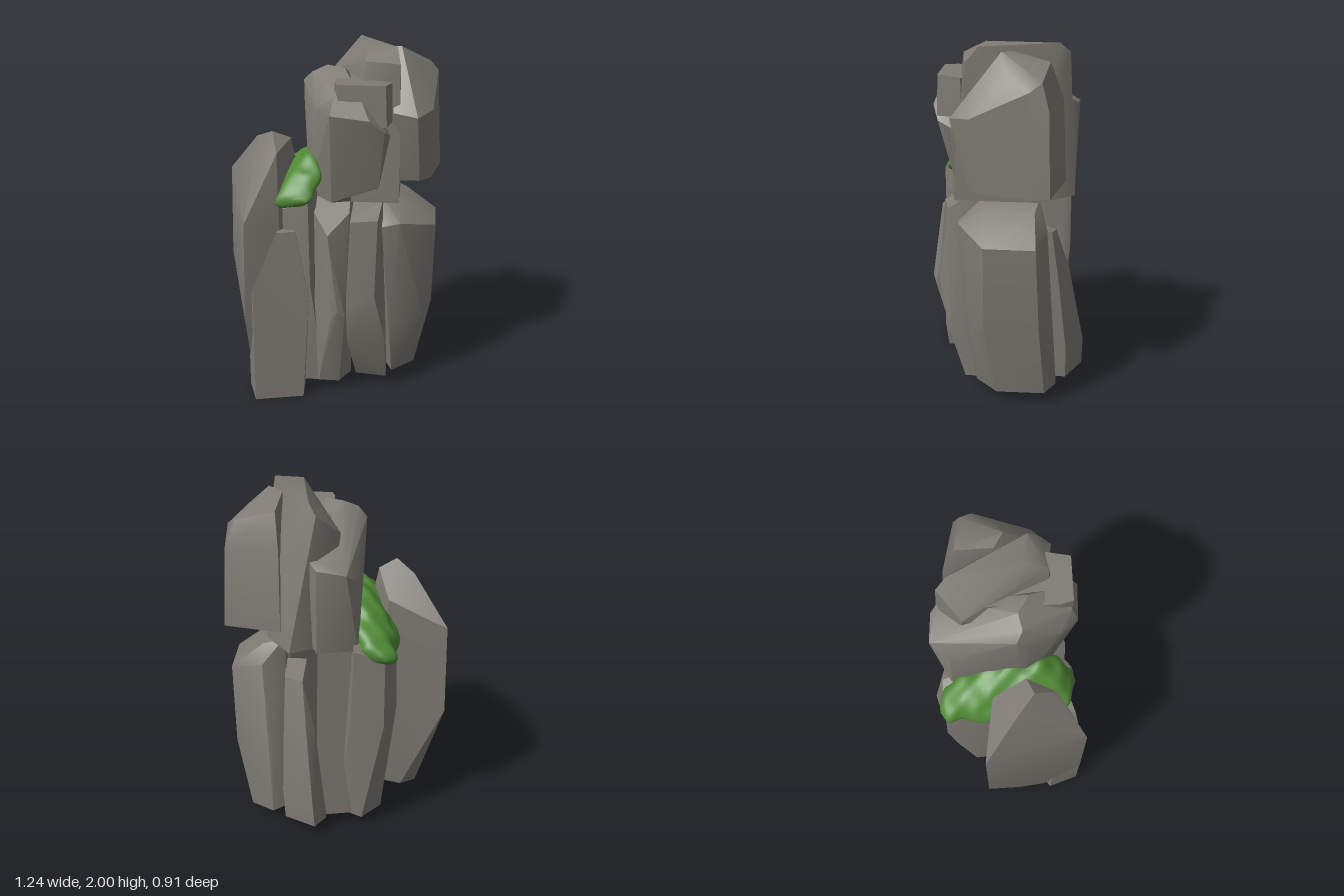
import * as THREE from 'three';
import { ConvexGeometry } from 'three/addons/geometries/ConvexGeometry.js';
import { toCreasedNormals } from 'three/addons/utils/BufferGeometryUtils.js';

const stone = new THREE.MeshStandardMaterial({ color: 0x7f7b74 });
stone.name = 'stone';
const mossGreen = new THREE.MeshStandardMaterial({ color: 0x4f8a35 });
mossGreen.name = 'moss green';

// Each rock is a chiselled convex block given by its corners [x, y, z].
const rocks = {
  leftTallRock: [
    [-0.47, 0.05, 0.08], [-0.45, 0.05, 0.24], [-0.18, 0.05, 0.32], [-0.2, 0.05, 0.08], [-0.38, 0.05, 0.03],
    [-0.62, 0.68, -0.12], [-0.45, 0.5, 0.44], [-0.19, 0.6, 0.3], [-0.22, 0.7, -0.04],
    [-0.61, 1.22, -0.13], [-0.53, 1.25, -0.12], [-0.44, 1.08, 0.44], [-0.26, 1.05, 0.35],
    [-0.28, 1.36, -0.08], [-0.185, 1.3, 0.1], [-0.42, 1.47, 0.05], [-0.32, 1.525, 0.14],
    [-0.22, 1.48, 0.1], [-0.28, 1.43, 0.26],
  ],
  frontLeftRock: [
    [-0.46, 0, 0.28], [-0.4, 0, 0.455], [-0.13, 0, 0.39], [-0.14, 0, 0.2], [-0.27, 0, 0.13],
    [-0.46, 0.48, 0.28], [-0.4, 0.7, 0.455], [-0.095, 0.62, 0.38], [-0.14, 0.7, 0.15],
    [-0.27, 1.02, 0.39], [-0.17, 1.02, 0.36], [-0.19, 1.02, 0.2], [-0.27, 1.02, 0.2],
  ],
  backLeftRock: [
    [-0.26, 0.05, -0.2], [-0.15, 0.05, -0.33], [0, 0.05, -0.25], [-0.02, 0.05, 0.28], [-0.22, 0.05, 0.28],
    [-0.34, 0.7, -0.12], [-0.27, 0.7, -0.36], [-0.08, 0.7, -0.36], [-0.09, 0.7, 0.36], [-0.24, 0.7, 0.34],
    [-0.33, 1.12, -0.1], [-0.27, 1.12, -0.35], [-0.1, 1.17, -0.36], [-0.07, 1.32, -0.1],
    [-0.08, 1.33, 0.2], [-0.1, 1.18, 0.35], [-0.24, 1.14, 0.33],
  ],
  centreRock: [
    [-0.09, 0.06, -0.3], [0.12, 0.06, -0.34], [0.12, 0.06, 0.2], [-0.09, 0.06, 0.2],
    [-0.08, 1.08, 0.24], [0.12, 1.09, 0.24], [0.12, 1.18, 0.1],
    [-0.08, 1.18, 0.1], [-0.08, 1.17, -0.3], [0.1, 1.17, -0.33],
  ],
  frontSplinter: [
    [-0.09, 0.06, 0.2], [-0.05, 0.06, 0.3], [0.07, 0.06, 0.3], [0.13, 0.06, 0.18], [0.07, 0.58, 0.44],
    [0.03, 0.52, 0.42], [0.11, 0.54, 0.42], [-0.07, 0.6, 0.33], [0.01, 1.01, 0.385],
    [-0.08, 1.1, 0.25], [0.12, 1.1, 0.26], [-0.07, 1.16, 0.15], [0.12, 1.16, 0.18],
  ],
  frontRightRock: [
    [0.16, 0.06, 0.2], [0.34, 0.06, 0.22], [0.33, 0.06, -0.1], [0.14, 0.06, 0],
    [0.12, 0.36, 0.36], [0.11, 0.58, 0.37], [0.27, 0.65, 0.37], [0.33, 0.35, 0.31],
    [0.13, 1.08, 0.35], [0.28, 1.08, 0.31], [0.14, 1.16, 0.2], [0.3, 1.16, 0.2], [0.3, 1.16, -0.1],
  ],
  rightRock: [
    [0.37, 0.06, 0.15], [0.5, 0.06, 0.02], [0.51, 0.07, -0.25], [0.38, 0.06, -0.31], [0.24, 0.06, -0.2],
    [0.35, 0.4, 0.22], [0.54, 0.45, 0.14], [0.59, 0.5, 0.08], [0.59, 0.5, -0.22], [0.38, 0.5, -0.28],
    [0.3, 1.02, 0.25], [0.4, 1.04, 0.24], [0.6, 0.98, 0.08], [0.6, 0.98, -0.2], [0.42, 1.02, -0.25],
    [0.3, 1.15, 0.12], [0.4, 1.12, 0.1], [0.3, 1.16, -0.2], [0.42, 1.12, -0.18],
  ],
  backRock: [
    [0.06, 0.06, -0.36], [0.12, 0.06, -0.45], [0.3, 0.06, -0.36], [0.3, 0.06, -0.1], [0.06, 0.06, -0.1],
    [0.13, 0.22, -0.455], [0.31, 0.25, -0.36], [0.12, 0.65, -0.33], [0.17, 0.7, -0.365], [0.3, 0.68, -0.31],
    [0.19, 0.94, -0.29], [0.29, 0.96, -0.27], [0.18, 1, -0.12], [0.3, 1, -0.12],
  ],
  towerRock: [
    [-0.12, 1.15, -0.3], [0.1, 1.17, -0.385], [0.12, 1.15, 0.2], [0.02, 1.16, 0.26], [-0.12, 1.16, 0.1],
    [0.28, 1.26, 0.27], [0.3, 1.27, 0],
    [-0.13, 1.55, -0.3], [-0.06, 1.63, -0.4], [0.1, 1.65, -0.39], [0.15, 1.7, -0.34],
    [-0.15, 1.8, 0.05], [-0.14, 1.72, 0.12], [-0.06, 1.7, 0.28], [0.02, 1.68, 0.375], [0.23, 1.66, 0.385],
    [0.31, 1.59, 0.35], [0.335, 1.56, 0.28], [-0.1, 1.85, 0.08], [-0.02, 1.885, 0.06], [0.08, 1.88, 0.12],
    [0.04, 1.77, 0.34], [0.18, 1.77, 0.34],
  ],
  crownRock: [
    [0.13, 1.17, 0.26], [0.39, 1.17, 0.26], [0.39, 1.17, -0.2], [0.25, 1.17, -0.39], [0.06, 1.17, -0.3],
    [0.11, 1.34, 0.27], [0.39, 1.4, 0.24], [0.38, 1.72, 0.2], [0.2, 1.72, 0.25], [-0.02, 1.8, -0.22],
    [0.1, 1.76, -0.345], [0.28, 1.76, -0.26], [0.05, 1.88, -0.24], [0.1, 1.93, -0.345], [0.14, 1.985, -0.29],
    [0.2, 2, 0.1], [0.36, 2, 0.12], [0.38, 1.92, 0.19], [0.2, 1.94, 0.22],
  ],
  overhangRock: [
    [0.3, 1.27, -0.34], [0.615, 1.27, -0.27], [0.615, 1.27, -0.17], [0.56, 1.27, 0.1],
    [0.5, 1.27, 0.165], [0.34, 1.27, 0.165],
    [0.35, 1.67, 0.24], [0.48, 1.65, 0.26], [0.56, 1.67, 0.15], [0.585, 1.82, -0.16],
    [0.59, 1.72, -0.26], [0.3, 1.72, -0.32], [0.32, 1.92, -0.25], [0.54, 1.86, -0.22],
    [0.38, 1.98, 0], [0.49, 1.89, -0.04], [0.3, 1.97, -0.05],
  ],
  ledge: [
    [0.04, 1.84, -0.1], [0.08, 1.84, -0.1], [0.05, 1.76, -0.1], [0.34, 1.83, 0.22], [0.31, 1.84, 0.345],
    [0.06, 1.84, 0.345], [0.04, 1.84, 0.28], [0.04, 1.76, 0.28], [0.06, 1.76, 0.345],
    [0.24, 1.62, 0.35], [0.32, 1.62, 0.35], [0.345, 1.62, 0.22], [0.24, 1.62, 0.22],
  ],
};

// Moss: tilted ellipses lofted from back to front, with rounded lumps.
function mossPad() {
  // [z, left x, left y, right x, right y, half thickness]
  const stations = [
    [-0.375, -0.28, 1.13, -0.24, 1.15, 0.01], [-0.34, -0.315, 1.11, -0.15, 1.19, 0.05],
    [-0.22, -0.325, 1.11, -0.11, 1.28, 0.065], [-0.08, -0.33, 1.13, -0.09, 1.36, 0.07],
    [0.06, -0.28, 1.16, -0.08, 1.4, 0.07], [0.18, -0.25, 1.18, -0.07, 1.39, 0.075],
    [0.28, -0.27, 1.18, -0.05, 1.32, 0.07], [0.34, -0.27, 1.18, -0.06, 1.24, 0.05],
    [0.372, -0.16, 1.2, -0.1, 1.2, 0.01],
  ];
  const spline = pick => new THREE.CatmullRomCurve3(stations.map(s => new THREE.Vector3(...pick(s))));
  const left = spline(s => [s[1], s[2], s[0]]);
  const right = spline(s => [s[3], s[4], s[0]]);
  const thickness = spline(s => [s[5], 0, s[0]]);
  const rows = 48, cols = 36, pos = [], index = [];
  for (let i = 0; i <= rows; i++) {
    const l = left.getPoint(i / rows), r = right.getPoint(i / rows);
    const t = thickness.getPoint(i / rows).x;
    const mid = l.clone().add(r).multiplyScalar(0.5);
    const half = r.clone().sub(l).multiplyScalar(0.5);
    const normal = new THREE.Vector3(-half.y, half.x, 0).normalize();
    for (let j = 0; j < cols; j++) {
      const a = j / cols * Math.PI * 2;
      const p = mid.clone().addScaledVector(half, Math.cos(a)).addScaledVector(normal, Math.sin(a) * t);
      const lump = 0.09 * (Math.sin(48 * p.x + 1) * Math.sin(43 * p.z) + Math.sin(37 * p.y) * Math.sin(29 * p.z + 2));
      p.lerp(mid, -lump);
      pos.push(p.x, p.y, p.z);
      if (i < rows) {
        const n = (j + 1) % cols, p0 = i * cols, p1 = p0 + cols;
        index.push(p0 + j, p0 + n, p1 + j, p0 + n, p1 + n, p1 + j);
      }
    }
  }
  // End caps
  for (let j = 1; j < cols - 1; j++) {
    const e = rows * cols;
    index.push(0, j + 1, j, e, e + j, e + j + 1);
  }
  const geo = new THREE.BufferGeometry();
  geo.setAttribute('position', new THREE.Float32BufferAttribute(pos, 3));
  geo.setIndex(index);
  geo.computeVertexNormals();
  return geo;
}

export function createModel() {
  const group = new THREE.Group();
  group.name = 'rockFormation';
  const add = (name, geometry, material) => {
    const mesh = new THREE.Mesh(geometry, material);
    mesh.name = name;
    group.add(mesh);
  };
  // Shallow edges are softened, sharp ones stay crisp.
  for (const [name, corners] of Object.entries(rocks)) {
    const hull = new ConvexGeometry(corners.map(c => new THREE.Vector3(...c)));
    add(name, toCreasedNormals(hull, 0.55), stone);
  }
  add('moss', mossPad(), mossGreen);
  return group;
}
